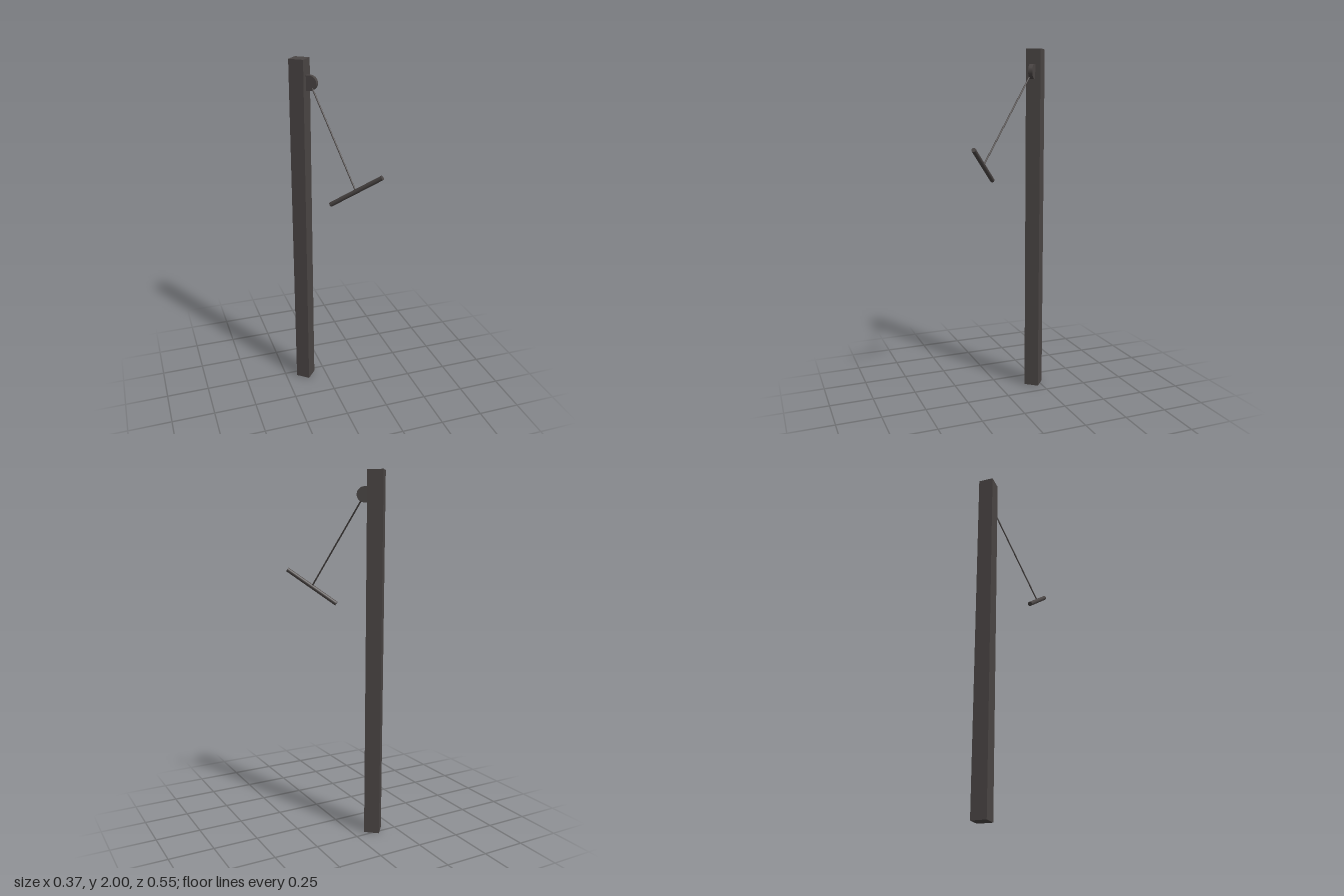
import * as THREE from 'three';

const darkMetal = new THREE.MeshStandardMaterial({ color: 0x4a4544 });
darkMetal.name = 'darkMetal';

function part(name, geometry, parent) {
  const mesh = new THREE.Mesh(geometry, darkMetal);
  mesh.name = name;
  parent.add(mesh);
  return mesh;
}

// Round bar running between two points
function bar(name, a, b, radius, sides, parent) {
  const dir = b.clone().sub(a);
  const mesh = part(name, new THREE.CylinderGeometry(radius, radius, dir.length(), sides), parent);
  mesh.position.copy(a).add(b).multiplyScalar(0.5);
  mesh.quaternion.setFromUnitVectors(new THREE.Vector3(0, 1, 0), dir.normalize());
  return mesh;
}

export function createModel() {
  const model = new THREE.Group();
  model.name = 'postWithSwingBar';

  // Square post, turned 40 degrees, with its bracket
  const stand = new THREE.Group();
  stand.name = 'stand';
  stand.position.set(-0.124, 0, -0.215);
  stand.rotation.y = -40 * Math.PI / 180;
  model.add(stand);
  part('post', new THREE.BoxGeometry(0.085, 2, 0.085), stand).position.y = 1;

  // D-shaped bracket: flat against the post, rounded outward
  const r = 0.041, t = 0.024;
  const shape = new THREE.Shape();
  shape.moveTo(-0.02, -r);
  shape.lineTo(0, -r);
  shape.absarc(0, 0, r, -Math.PI / 2, Math.PI / 2, false);
  shape.lineTo(-0.02, r);
  shape.closePath();
  const bracket = part('bracket',
    new THREE.ExtrudeGeometry(shape, { depth: t, bevelEnabled: false, curveSegments: 12 }), stand);
  bracket.position.set(0.061, 1.875, -t / 2);

  // Thin hanging rod, swung outward from the bracket
  const centre = new THREE.Vector3(0.063, 1.371, 0.168);
  bar('hangingRod', new THREE.Vector3(-0.077, 1.875, -0.176), centre, 0.0043, 12, model);

  // Tilted crossbar at the end of the rod
  const half = new THREE.Vector3(0.638, 0.553, 0.536).normalize().multiplyScalar(0.171);
  bar('crossbar', centre.clone().sub(half), centre.clone().add(half), 0.0125, 20, model);

  return model;
}
